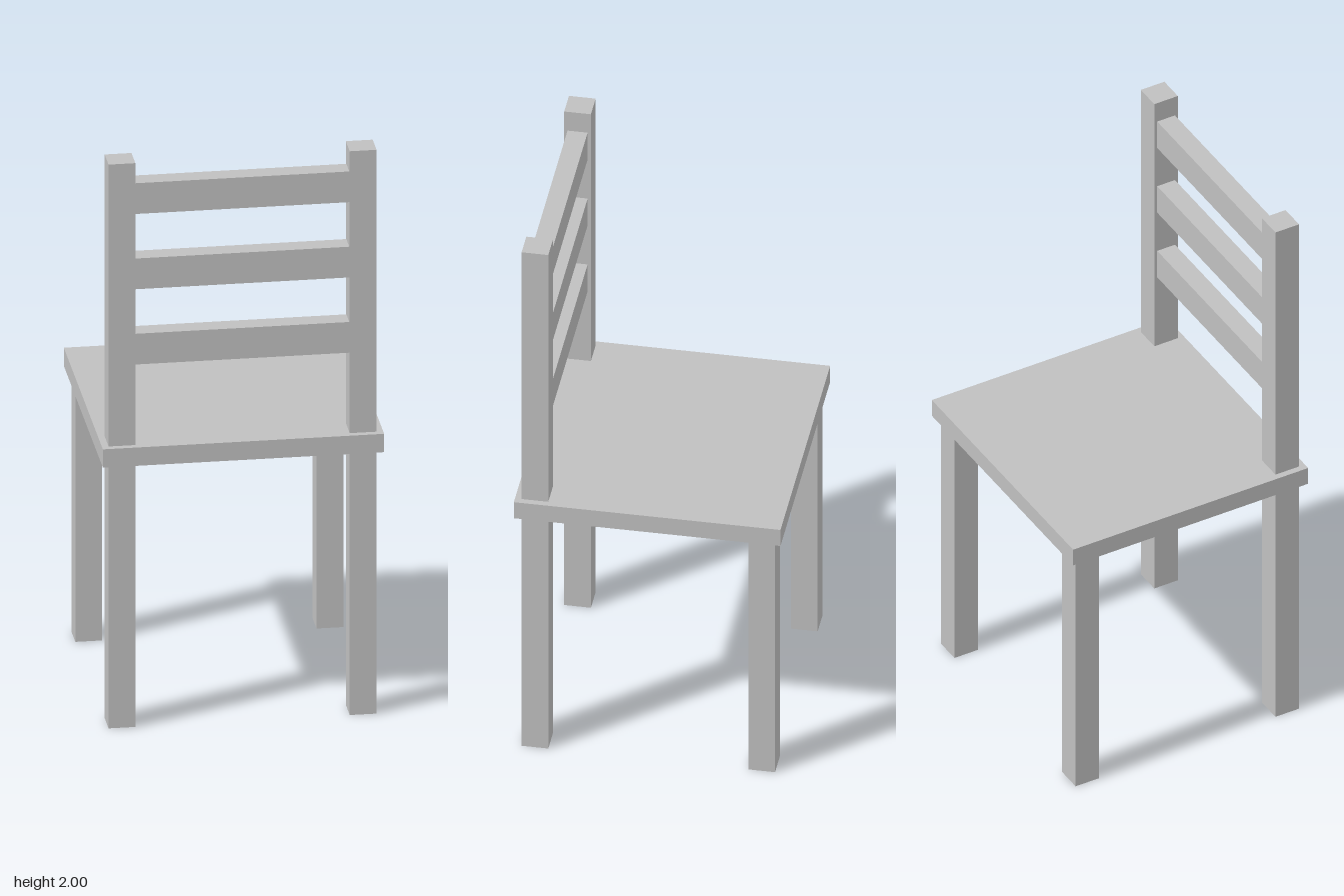
import * as THREE from 'three';

export function createModel() {
  const chair = new THREE.Group();
  chair.name = 'chair';
  const grey = new THREE.MeshStandardMaterial({ color: 0xc0c0c0 });
  grey.name = 'plain grey';

  // Box placed by its bottom height
  const addBox = (name, width, height, depth, x, bottom, z) => {
    const mesh = new THREE.Mesh(new THREE.BoxGeometry(width, height, depth), grey);
    mesh.name = name;
    mesh.position.set(x, bottom + height / 2, z);
    chair.add(mesh);
  };

  const legSize = 0.089, legX = 0.4, legZ = 0.378;
  const seatBottom = 0.935, seatTop = 1;

  // Seat board
  addBox('seat', 0.933, seatTop - seatBottom, 0.889, 0, seatBottom, 0);

  // Legs, and the posts that carry the backrest on the +z side
  for (const [side, s] of [['left', 1], ['right', -1]]) {
    addBox(`${side}PlainLeg`, legSize, seatBottom, legSize, s * legX, 0, -legZ);
    addBox(`${side}PostLeg`, legSize, seatBottom, legSize, s * legX, 0, legZ);
    addBox(`${side}BackPost`, legSize, 2 - seatTop, legSize, s * legX, seatTop, legZ);
  }

  // Three backrest slats between the posts
  for (let i = 0; i < 3; i++) {
    addBox(`backSlat${i + 1}`, 2 * legX - legSize, 0.109, 0.067, 0, 1.281 + i * 0.267, legZ);
  }

  return chair;
}
